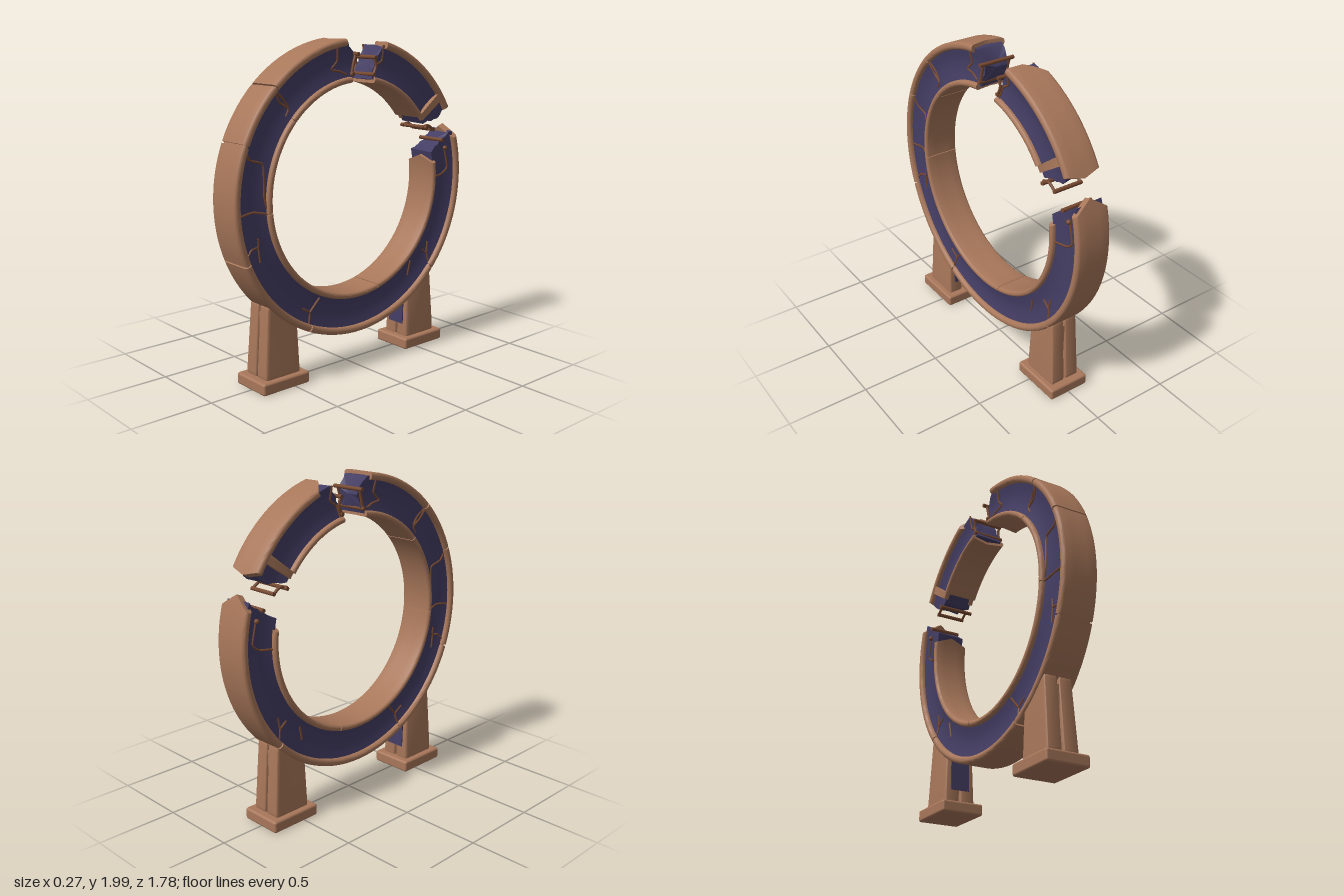
import * as THREE from 'three';
import { mergeVertices, toCreasedNormals } from 'three/addons/utils/BufferGeometryUtils.js';
import { RoundedBoxGeometry } from 'three/addons/geometries/RoundedBoxGeometry.js';

const CY = 1.108, CX = 0.0125, RAD = Math.PI / 180;
const bronze = new THREE.MeshStandardMaterial({ color: 0xa8775a });
bronze.name = 'bronze stone';
const indigo = new THREE.MeshStandardMaterial({ color: 0x443d64 });
indigo.name = 'indigo core';
const dark = new THREE.MeshStandardMaterial({ color: 0x784930 });
dark.name = 'dark rust';

// Point on the ring: angle in degrees, radius, x
const ringPoint = (a, r, x) => [x, CY + r * Math.sin(a * RAD), -r * Math.cos(a * RAD)];
const lerp = THREE.MathUtils.lerp;

// Half width of the core, dished in the middle of the channel
const coreHalf = r => 0.074 + 0.016 * Math.min(1, Math.abs((r - 0.76) / 0.1) ** 2);

// Rounded rectangle in (x, r), anticlockwise, with extra points along the long edges
function bandProfile(x0, x1, r0, r1, rad) {
  const pts = [];
  const corner = (x, r, start) => {
    for (let i = 0; i < 4; i++) {
      const a = (start + i * 30) * RAD;
      pts.push([x + rad * Math.cos(a), r + rad * Math.sin(a)]);
    }
  };
  corner(x0 + rad, r0 + rad, 180);
  for (const t of [0.3, 0.5, 0.7]) pts.push([lerp(x0, x1, t), r0]);
  corner(x1 - rad, r0 + rad, 270);
  corner(x1 - rad, r1 - rad, 0);
  for (const t of [0.7, 0.5, 0.3]) pts.push([lerp(x0, x1, t), r1]);
  corner(x0 + rad, r1 - rad, 90);
  return pts;
}

function coreProfile() {
  const right = [], n = 8;
  for (let i = 0; i <= n; i++) {
    const r = lerp(0.655, 0.87, i / n);
    right.push([CX + coreHalf(r), r]);
  }
  return [...right, ...right.map(([x, r]) => [2 * CX - x, r]).reverse()];
}

// Sweep a profile along an arc; jag functions shift each end by (x, r)
const none = () => 0;
function arcGeometry(profile, a0, a1, jag0 = none, jag1 = none) {
  const n = profile.length, steps = Math.ceil((a1 - a0) / 2.5), pos = [], idx = [];
  for (let i = 0; i <= steps; i++) {
    for (const [x, r] of profile) {
      pos.push(...ringPoint(lerp(a0 + jag0(x, r), a1 + jag1(x, r), i / steps), r, x));
    }
  }
  for (let i = 0; i < steps; i++) {
    for (let j = 0; j < n; j++) {
      const A = i * n + j, B = i * n + (j + 1) % n;
      idx.push(A, B, B + n, A, B + n, A + n);
    }
  }
  const cx = profile.reduce((s, p) => s + p[0], 0) / n, cr = profile.reduce((s, p) => s + p[1], 0) / n;
  const c0 = pos.length / 3, last = steps * n;
  pos.push(...ringPoint(a0 + jag0(cx, cr), cr, cx), ...ringPoint(a1 + jag1(cx, cr), cr, cx));
  for (let j = 0; j < n; j++) {
    const k = (j + 1) % n;
    idx.push(c0, k, j, c0 + 1, last + j, last + k);
  }
  const g = new THREE.BufferGeometry();
  g.setAttribute('position', new THREE.Float32BufferAttribute(pos, 3));
  g.setIndex(idx);
  return toCreasedNormals(g, 0.75);
}

export function createModel() {
  const root = new THREE.Group();
  root.name = 'brokenRingGate';
  const add = (name, geometry, material, parent = root) => {
    const m = new THREE.Mesh(geometry, material);
    m.name = name;
    parent.add(m);
    return m;
  };

  // Ragged ends: a central ridge, a one-sided chip, or a broken edge given by three angles over the radius
  const ridge = k => x => k * (1 - Math.abs(x - CX) / 0.11);
  const chip = k => x => k * Math.min(0, x / 0.1);
  const broken = (low, mid, high) => (x, r) => {
    const t = (r - 0.655) / 0.215;
    const base = t < 0.6 ? lerp(low, mid, t / 0.6) : lerp(mid, high, (t - 0.6) / 0.4);
    return base + 0.4 * Math.sin(r * 90 + x * 14);
  };

  // Indigo core of the long arc and of the loose upper piece
  const core = coreProfile();
  add('longCore', arcGeometry(core, 90, 374, broken(3.5, 0.3, 5), broken(0, 3, 5)), indigo);
  add('looseCore', arcGeometry(core, 28, 80, broken(4, -0.5, 2), broken(0, -2, -5)), indigo);

  // Outer casing blocks, parted by narrow cracks over a continuous lining
  const outer = bandProfile(-0.1, 0.125, 0.848, 0.892, 0.019);
  const cuts = [96, 133.5, 157.5, 202, 244.6, 317, 376];
  for (let i = 0; i < cuts.length - 1; i++) {
    const first = i === 0, end = i === cuts.length - 2;
    add('outerCasing', arcGeometry(outer, cuts[i] + (first ? 0 : 0.35), cuts[i + 1] - (end ? 0 : 0.35),
      first ? ridge(2) : none, end ? ridge(5) : none), bronze);
  }
  add('outerLining', arcGeometry(bandProfile(-0.09, 0.115, 0.852, 0.88, 0.012), 99, 370), bronze);
  add('looseOuterCasing', arcGeometry(outer, 30, 75, ridge(-2), chip(7)), bronze);

  // Inner casing blocks
  const inner = bandProfile(-0.1, 0.125, 0.635, 0.67, 0.016);
  const innerCuts = [94.5, 137, 185, 284, 368];
  for (let i = 0; i < innerCuts.length - 1; i++) {
    const first = i === 0, end = i === innerCuts.length - 2;
    add('innerCasing', arcGeometry(inner, innerCuts[i] + (first ? 0 : 0.25), innerCuts[i + 1] - (end ? 0 : 0.25),
      first ? ridge(1.5) : none, end ? ridge(4) : none), bronze);
  }
  add('innerLining', arcGeometry(bandProfile(-0.09, 0.115, 0.644, 0.667, 0.01), 98, 365), bronze);
  add('looseInnerCasing', arcGeometry(inner, 38, 79, none, ridge(-2)), bronze);

  // Strap across the lower end of the loose piece
  for (const s of [-1, 1]) {
    const x = CX + s * 0.09;
    add('strap', arcGeometry(bandProfile(x - 0.016, x + 0.016, 0.65, 0.87, 0.008), 34.5, 38), bronze);
  }

  // Branching cracks, as (-z, y) paths laid on both faces of the core
  const cracks = [
    [[-0.6, 1.72], [-0.56, 1.66], [-0.5, 1.62], [-0.52, 1.58]],
    [[-0.61, 1.74], [-0.54, 1.68], [-0.5, 1.63]],
    [[-0.8, 1.42], [-0.77, 1.36], [-0.68, 1.33], [-0.68, 1.15], [-0.66, 1.06]],
    [[-0.84, 1.06], [-0.75, 1.07], [-0.66, 1.05]],
    [[-0.82, 0.8], [-0.77, 0.86], [-0.72, 0.87], [-0.72, 0.92]],
    [[-0.72, 0.87], [-0.71, 0.78]],
    [[-0.38, 0.33], [-0.36, 0.41], [-0.42, 0.45]],
    [[-0.36, 0.41], [-0.29, 0.49]],
    [[0.45, 0.48], [0.47, 0.58]],
    [[0.63, 0.55], [0.62, 0.6], [0.57, 0.64]],
    [[0.62, 0.6], [0.63, 0.68]],
    [[0.66, 1.1], [0.75, 1.11], [0.8, 1.15], [0.77, 1.28]],
    [[0.14, 1.76], [0.16, 1.83], [0.21, 1.86], [0.21, 1.95]],
    [[-0.08, 1.79], [-0.13, 1.81], [-0.19, 1.82], [-0.14, 1.87], [-0.15, 1.95]],
  ];
  for (const s of [-1, 1]) {
    for (const path of cracks) {
      const pts = path.map(([u, y]) =>
        new THREE.Vector3(CX + s * (coreHalf(Math.hypot(u, y - CY)) + 0.001), y, -u));
      const curve = new THREE.CatmullRomCurve3(pts, false, 'catmullrom', 0.2);
      add('crack', new THREE.TubeGeometry(curve, 14, 0.0065, 5), dark);
    }
    add('crackKnob', new THREE.SphereGeometry(0.015, 10, 8), dark).position.set(CX + s * 0.085, 1.28, -0.77);
  }

  // Snapped rods crossing the broken ends: (-z, y, length)
  const rods = [[-0.01, 1.905, 0.23], [-0.04, 1.79, 0.21], [0.14, 1.88, 0.2], [0.13, 1.78, 0.2],
    [0.57, 1.43, 0.23], [0.65, 1.41, 0.19], [0.73, 1.335, 0.2]];
  for (const [u, y, len] of rods) {
    const rod = add('snappedRod', new THREE.CylinderGeometry(0.012, 0.012, len, 8), dark);
    rod.rotation.z = Math.PI / 2;
    rod.position.set(CX, y, -u);
  }
  // Bent ties joining the rod ends
  const ties = [[[-0.01, 1.905], [-0.025, 1.86], [-0.04, 1.79]], [[0.14, 1.88], [0.15, 1.83], [0.13, 1.78]],
    [[0.55, 1.43], [0.6, 1.44], [0.65, 1.41]]];
  for (const s of [-1, 1]) {
    for (const path of ties) {
      const pts = path.map(([u, y]) => new THREE.Vector3(CX + s * 0.088, y, -u));
      add('bentTie', new THREE.TubeGeometry(new THREE.CatmullRomCurve3(pts), 10, 0.009, 6), dark);
    }
  }

  // Tapered leg shell: a unit rounded box mapped onto the leg's slopes
  const shellGeometry = side => {
    const g = new RoundedBoxGeometry(1, 1, 1, 3, 0.1);
    g.deleteAttribute('normal');
    g.deleteAttribute('uv');
    const p = g.attributes.position;
    for (let i = 0; i < p.count; i++) {
      const tx = p.getX(i) + 0.5, ty = p.getY(i) + 0.5, tz = p.getZ(i) + 0.5;
      const x = lerp(0.004, lerp(0.1, 0.088, ty), side > 0 ? tx : 1 - tx);
      p.setXYZ(i, side * x, lerp(0.05, lerp(0.37, 0.53, tz), ty),
        lerp(lerp(0.44, 0.45, ty), lerp(0.69, 0.655, ty), tz));
    }
    return toCreasedNormals(mergeVertices(g, 1e-5), 0.7);
  };

  // Two legs, each with a foot plate, split shell and an indigo panel on the inner side
  for (const front of [true, false]) {
    const leg = new THREE.Group();
    leg.name = front ? 'frontLeg' : 'backLeg';
    add('footPlate', new RoundedBoxGeometry(0.27, 0.072, 0.335, 3, 0.014), bronze, leg).position.set(0, 0.036, 0.565);
    for (const side of [-1, 1]) add('legShell', shellGeometry(side), bronze, leg);
    add('legFill', new THREE.BoxGeometry(0.05, 0.4, 0.19), bronze, leg).position.set(0, 0.26, 0.56);
    const panel = add('legPanel', new THREE.BoxGeometry(0.12, 0.2, 0.009), indigo, leg);
    panel.position.set(0, 0.25, 0.444);
    panel.rotation.x = 0.031;
    if (!front) leg.rotation.y = Math.PI;
    root.add(leg);
  }
  return root;
}
